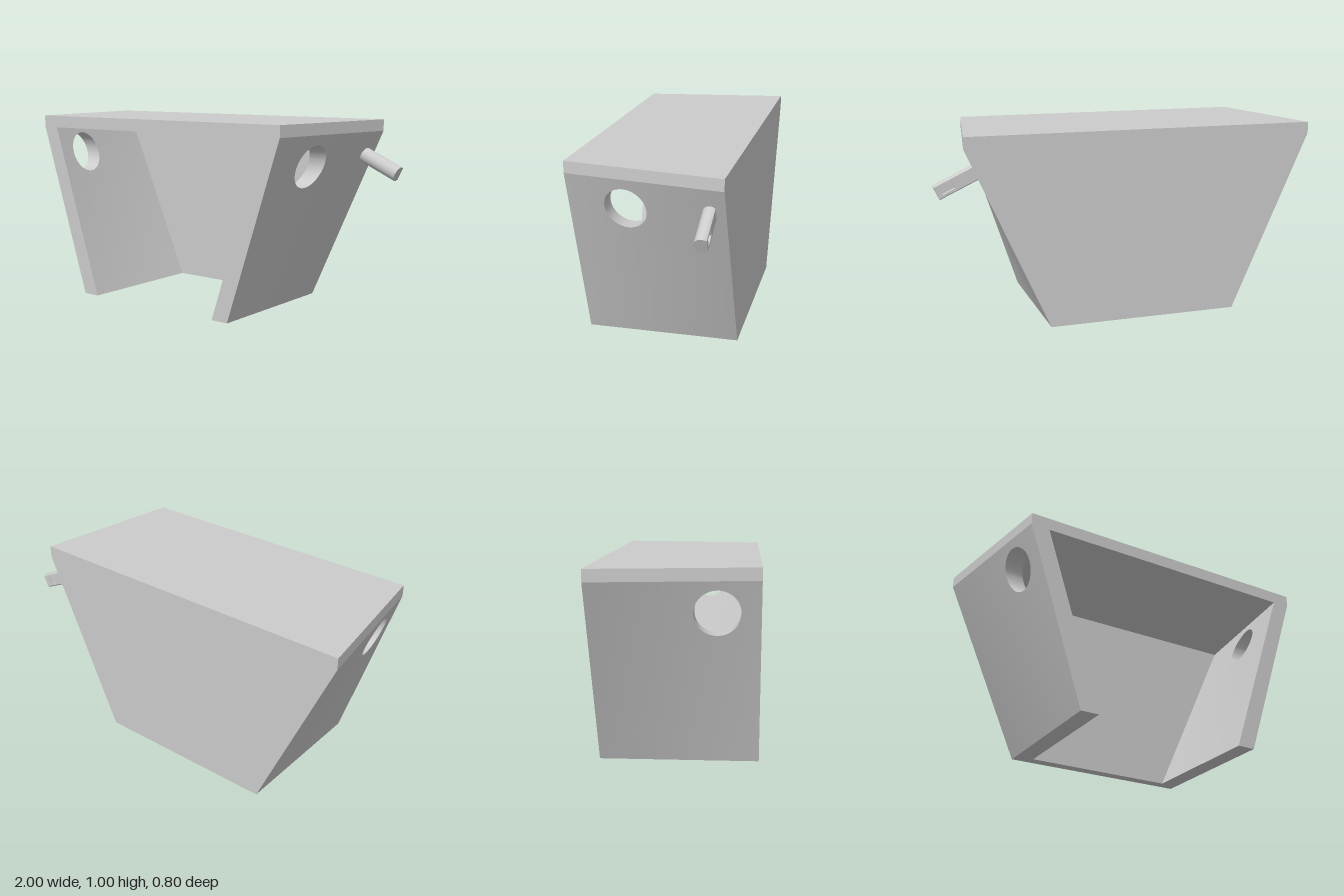
import * as THREE from 'three';

const grey = new THREE.MeshStandardMaterial({ color: 0xcccccc });
const V = (x, y, z) => new THREE.Vector3(x, y, z);

const CX = -0.0725;            // body centre in x
const F = 0.4, B = -0.4;       // front and back planes
const IB = -0.34;              // inner back plane
const EDGE = 0.94, CEIL = 0.935;

// Half widths of the body: walls flare upwards, and more so towards the back
const flare = z => 0.305 + 0.115 * (F - z) / (F - B);
const outerX = (z, y) => 0.5075 + flare(z) * Math.min(y / EDGE, 1);
const innerX = (z, y) => 0.41 + flare(z) * y / CEIL;

function mesh(name, geometry) {
  const m = new THREE.Mesh(geometry, grey);
  m.name = name;
  return m;
}

// Surface through rows of points
function loft(rows, flip) {
  const n = rows[0].length, index = [];
  for (let i = 0; i < rows.length - 1; i++) {
    for (let j = 0; j < n - 1; j++) {
      const a = i * n + j, b = a + n, c = b + 1, d = a + 1;
      index.push(...(flip ? [a, c, b, a, d, c] : [a, b, c, a, c, d]));
    }
  }
  const g = new THREE.BufferGeometry().setFromPoints(rows.flat());
  g.setIndex(index);
  g.computeVertexNormals();
  return g;
}

// Flat convex panel turned to face the given direction
function panel(name, points, facing) {
  const normal = points[1].clone().sub(points[0]).cross(points[2].clone().sub(points[0]));
  const p = normal.dot(facing) < 0 ? [...points].reverse() : points;
  const tris = [];
  for (let i = 1; i < p.length - 1; i++) tris.push(p[0], p[i], p[i + 1]);
  const g = new THREE.BufferGeometry().setFromPoints(tris);
  g.computeVertexNormals();
  return mesh(name, g);
}

// Twisted side wall with a round hole bored along x
function sideWall(s, hole) {
  const group = new THREE.Group();
  group.name = s > 0 ? 'leftWall' : 'rightWall';
  const outer = { z0: B, y1: EDGE, half: outerX };
  const inner = { z0: IB, y1: CEIL, half: innerX };

  // Rays from the hole, including those that hit the wall corners
  const angles = [];
  for (let i = 0; i < 64; i++) angles.push(i / 64 * Math.PI * 2);
  for (const w of [outer, inner]) {
    for (const z of [w.z0, F]) for (const y of [0, w.y1]) {
      angles.push((Math.atan2(y - hole.y, z - hole.z) + Math.PI * 2) % (Math.PI * 2));
    }
  }
  angles.sort((a, b) => a - b);
  angles.push(Math.PI * 2);

  const rings = w => {
    const rows = [];
    for (let i = 0; i <= 12; i++) {
      rows.push(angles.map(a => {
        const c = Math.cos(a), d = Math.sin(a);
        const reach = Math.min(
          Math.abs(((c > 0 ? F : w.z0) - hole.z) / (c || 1e-9)),
          Math.abs(((d > 0 ? w.y1 : 0) - hole.y) / (d || 1e-9)));
        const r = THREE.MathUtils.lerp(hole.r, reach, i / 12);
        const z = hole.z + r * c, y = hole.y + r * d;
        return V(s * w.half(z, y), y, z);
      }));
    }
    return rows;
  };
  const out = rings(outer), inn = rings(inner);
  group.add(mesh('outerFace', loft(out, s > 0)));
  group.add(mesh('innerFace', loft(inn, s < 0)));
  group.add(mesh('holeBore', loft([out[0], inn[0]], s < 0)));

  // Upright band, front rim and foot of this wall
  const o = (z, y) => V(s * outerX(z, y), y, z);
  const n = (z, y) => V(s * innerX(z, y), y, z);
  group.add(panel('topBand', [o(B, EDGE), o(F, EDGE), o(F, 1), o(B, 1)], V(s, 0, 0)));
  group.add(panel('frontRim', [o(F, 0), n(F, 0), n(F, CEIL), o(F, EDGE)], V(0, 0, 1)));
  group.add(panel('foot', [o(B, 0), o(F, 0), n(F, 0), n(IB, 0)], V(0, -1, 0)));
  return group;
}

// Slanted peg with a flat back and a small pocket cut in the flat
function createPeg() {
  const peg = new THREE.Group();
  peg.name = 'peg';
  const section = notched => {
    const s = new THREE.Shape();
    const a = Math.acos(0.6);
    s.absarc(0, 0, 0.04, a, Math.PI * 2 - a);
    if (notched) {
      s.lineTo(0.024, -0.02);
      s.lineTo(0, -0.02);
      s.lineTo(0, 0.02);
      s.lineTo(0.024, 0.02);
    }
    return s;
  };
  for (const [name, from, to, notched] of [
    ['pegShaft', -0.25, -0.09, false],
    ['pegPocket', -0.09, -0.025, true],
    ['pegTip', -0.025, 0, false],
  ]) {
    const g = new THREE.ExtrudeGeometry(section(notched),
      { depth: to - from, bevelEnabled: false, curveSegments: 24 });
    g.translate(0, 0, from).rotateY(Math.PI / 2);
    peg.add(mesh(name, g));
  }
  peg.position.set(0.983, 0.725, -0.327);
  peg.rotation.z = -THREE.MathUtils.degToRad(25);
  return peg;
}

export function createModel() {
  const model = new THREE.Group();
  const body = new THREE.Group();
  body.name = 'body';
  body.position.x = CX;
  model.add(body);

  body.add(sideWall(1, { z: 0.103, y: 0.78, r: 0.108 }));
  body.add(sideWall(-1, { z: 0.197, y: 0.786, r: 0.11 }));

  const o = (s, y, z) => V(s * outerX(z, y), y, z);
  const n = (s, y, z) => V(s * innerX(z, y), y, z);
  // Top slab
  body.add(panel('top', [o(-1, 1, B), o(1, 1, B), o(1, 1, F), o(-1, 1, F)], V(0, 1, 0)));
  body.add(panel('ceiling',
    [n(-1, CEIL, IB), n(1, CEIL, IB), n(1, CEIL, F), n(-1, CEIL, F)], V(0, -1, 0)));
  body.add(panel('topFrontRim',
    [n(-1, CEIL, F), n(1, CEIL, F), o(1, EDGE, F), o(1, 1, F), o(-1, 1, F), o(-1, EDGE, F)], V(0, 0, 1)));
  // Back wall
  body.add(panel('back',
    [o(-1, 0, B), o(1, 0, B), o(1, EDGE, B), o(1, 1, B), o(-1, 1, B), o(-1, EDGE, B)], V(0, 0, -1)));
  body.add(panel('innerBack',
    [n(-1, 0, IB), n(1, 0, IB), n(1, CEIL, IB), n(-1, CEIL, IB)], V(0, 0, 1)));
  body.add(panel('backFoot',
    [o(-1, 0, B), o(1, 0, B), n(1, 0, IB), n(-1, 0, IB)], V(0, -1, 0)));

  model.add(createPeg());
  return model;
}
